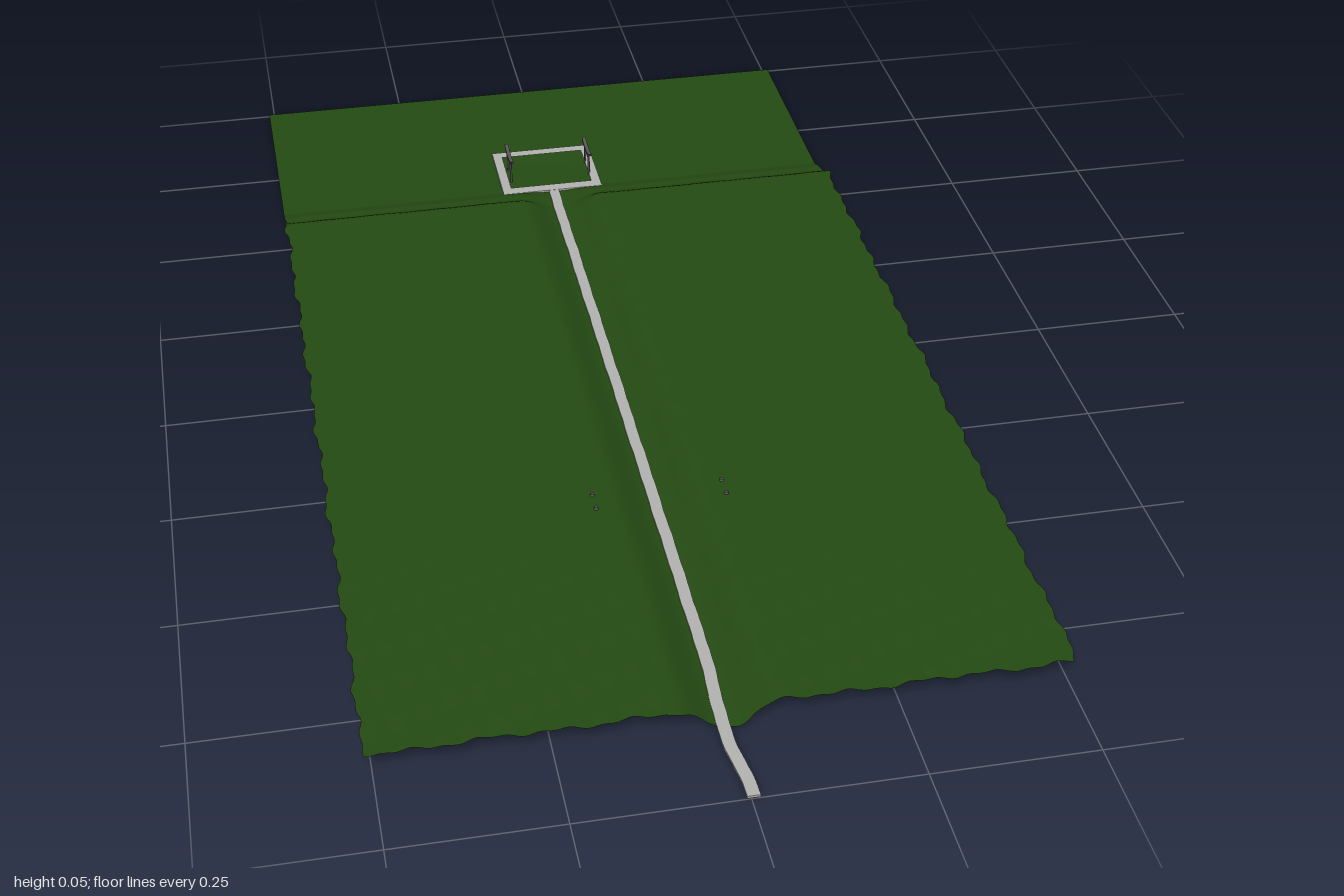
import * as THREE from 'three';

const grass = new THREE.MeshStandardMaterial({ color: 0x244a12, side: THREE.DoubleSide });
grass.name = 'grass green';
const stone = new THREE.MeshStandardMaterial({ color: 0xb0b0ae });
stone.name = 'pale stone';
const iron = new THREE.MeshStandardMaterial({ color: 0x555552 });
iron.name = 'dark grey';

const FLOOR = 0.004;
const step = (a, b, v) => THREE.MathUtils.smoothstep(v, a, b);
const wobble = (a, b) => Math.sin(a * 61 + b * 17) * 0.5 + Math.sin(a * 143 - b * 37 + 1.3) * 0.35 + Math.sin(a * 29 + b * 83) * 0.3;

// Ground height: plateau, terraced rear slope, central valley and shallow basin
function height(x, z) {
  const rear = 0.4 * step(-0.62, -0.575, z) + 0.6 * step(-0.57, -0.52, z);
  const side = step(0.005, 0.075, Math.abs(x));
  const up = rear * side;
  const inBasin = Math.abs(x + 0.003) < 0.08 && Math.abs(z + 0.683) < 0.058;
  const bx = 1 - ((x + 0.003) / 0.08) ** 2, bz = 1 - ((z + 0.683) / 0.058) ** 2;
  const basin = inBasin ? FLOOR * Math.sqrt(bx * bz) : 0;
  return FLOOR - basin + 0.035 * up + wobble(x, z) * 0.0006 * up;
}

function makeGround() {
  const geo = new THREE.PlaneGeometry(1.02, 1.86, 136, 248);
  geo.rotateX(-Math.PI / 2);
  geo.translate(0, 0, -0.07);
  const p = geo.attributes.position;
  for (let i = 0; i < p.count; i++) {
    let x = p.getX(i), z = p.getZ(i);
    const y = height(x, z);
    // Ragged outer rim on the raised part
    if (Math.abs(x) > 0.5 && z > -0.58) x += wobble(z, x) * 0.005;
    if (z > 0.85) z += wobble(x, 0.4) * 0.006;
    p.setXYZ(i, x, y, z);
  }
  geo.computeVertexNormals();
  return new THREE.Mesh(geo, grass);
}

// Narrow track along the valley, bending a little at its open end
function makePath() {
  const geo = new THREE.BoxGeometry(0.019, 0.004, 1.605, 1, 1, 120);
  geo.translate(0, 0.0055, 0.1975);
  const p = geo.attributes.position;
  for (let i = 0; i < p.count; i++) {
    const z = p.getZ(i);
    const bend = -0.006 * step(0.7, 0.88, z) + 0.012 * step(0.88, 1.0, z);
    p.setX(i, p.getX(i) - 0.002 + bend + wobble(z, 0) * 0.0008);
    p.setY(i, p.getY(i) - 0.002 * step(0.86, 1, z));
  }
  geo.computeVertexNormals();
  return new THREE.Mesh(geo, stone);
}

// Rectangular paved border around the basin
function makeBorder() {
  const rect = (T, x0, x1, z0, z1) => {
    const s = new T();
    s.moveTo(x0, -z0); s.lineTo(x1, -z0); s.lineTo(x1, -z1); s.lineTo(x0, -z1); s.closePath();
    return s;
  };
  const shape = rect(THREE.Shape, -0.097, 0.091, -0.76, -0.605);
  shape.holes.push(rect(THREE.Path, -0.08, 0.074, -0.741, -0.626));
  const geo = new THREE.ExtrudeGeometry(shape, { depth: 0.004, bevelEnabled: false });
  geo.rotateX(-Math.PI / 2);
  geo.translate(0, 0.004, 0);
  return new THREE.Mesh(geo, stone);
}

function rod(a, b, r) {
  const curve = new THREE.LineCurve3(new THREE.Vector3(...a), new THREE.Vector3(...b));
  return new THREE.Mesh(new THREE.TubeGeometry(curve, 1, r, 6), iron);
}

// Small two-legged gate with an upswept top beam
function makeGate(x) {
  const gate = new THREE.Group();
  for (const s of [-1, 1]) {
    const leg = rod([x, 0.004, -0.678 + s * 0.022], [x, 0.046, -0.678 + s * 0.017], 0.0022);
    leg.name = 'gateLeg';
    gate.add(leg);
  }
  const shape = new THREE.Shape();
  shape.moveTo(-0.034, 0.054);
  shape.quadraticCurveTo(0, 0.044, 0.034, 0.054);
  shape.lineTo(0.03, 0.048);
  shape.quadraticCurveTo(0, 0.04, -0.03, 0.048);
  shape.closePath();
  const geo = new THREE.ExtrudeGeometry(shape, { depth: 0.007, bevelEnabled: false, curveSegments: 8 });
  geo.translate(0, 0, -0.0035);
  geo.rotateY(Math.PI / 2);
  geo.translate(x, 0, -0.678);
  const beam = new THREE.Mesh(geo, iron);
  beam.name = 'gateTopBeam';
  const tie = rod([x, 0.037, -0.7], [x, 0.037, -0.656], 0.0015);
  tie.name = 'gateTieBeam';
  gate.add(beam, tie);
  return gate;
}

export function createModel() {
  const model = new THREE.Group();
  const add = (mesh, name) => { mesh.name = name; model.add(mesh); };
  add(makeGround(), 'ground');
  add(makePath(), 'path');
  add(makeBorder(), 'basinBorder');
  for (const s of [-1, 1]) {
    add(makeGate(s * 0.075), s > 0 ? 'leftGate' : 'rightGate');
    // Low marker stones on the plateau
    for (const z of [0.36, 0.393]) {
      const marker = new THREE.Mesh(new THREE.CylinderGeometry(0.003, 0.005, 0.008, 6), iron);
      marker.position.set(s * 0.103, 0.039, z);
      add(marker, 'markerStone');
    }
  }
  return model;
}
